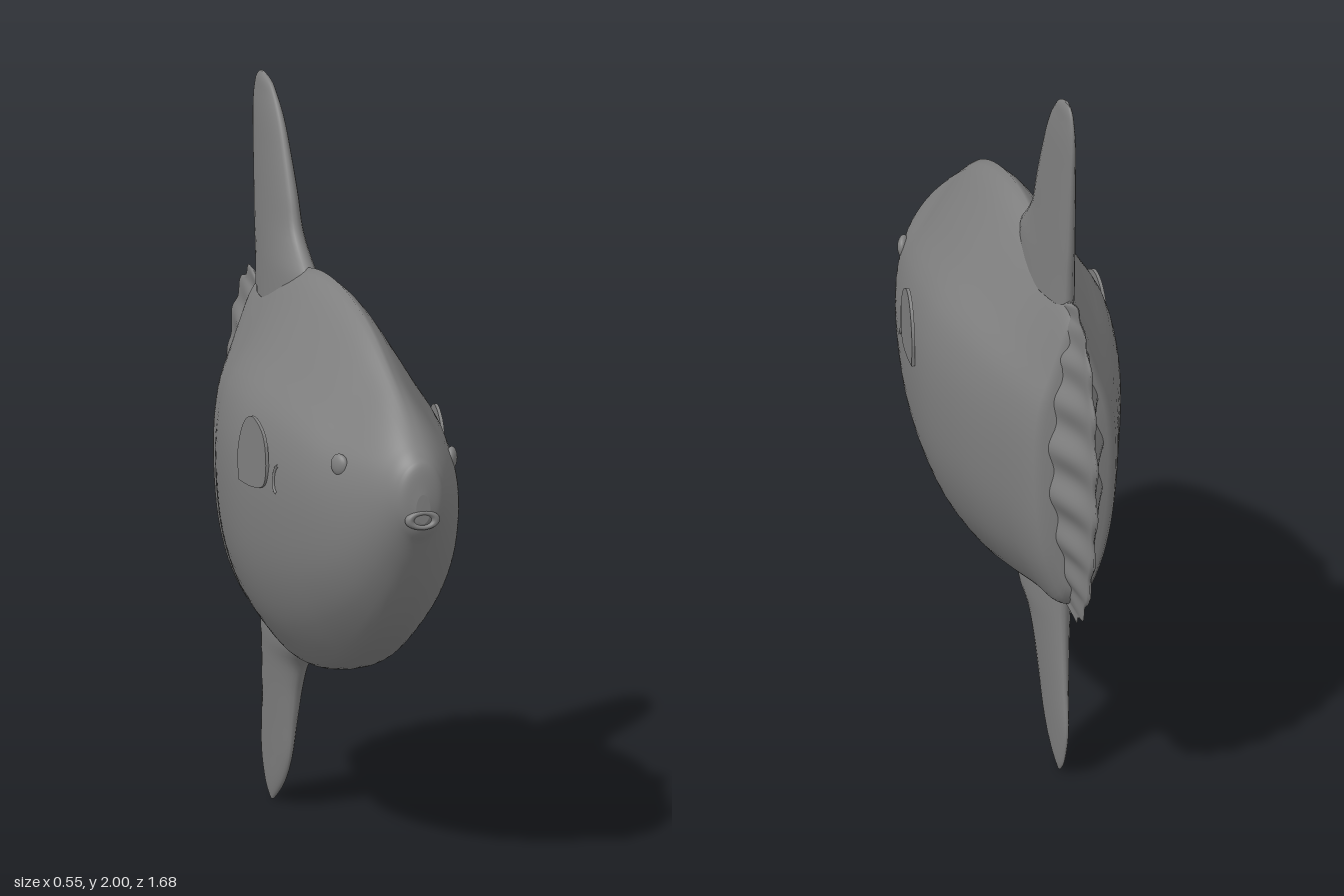
import * as THREE from 'three';

const skin = new THREE.MeshStandardMaterial({ color: 0x808080 });
skin.name = 'greySkin';

// Smooth interpolation of a small table of rows [position, value, value...]
function sampler(rows) {
  const size = rows[0].length - 1;
  const curve = new THREE.CubicInterpolant(
    new Float32Array(rows.map(r => r[0])),
    new Float32Array(rows.flatMap(r => r.slice(1))), size, new Float32Array(size));
  return t => Array.from(curve.evaluate(t));
}

// Skin over closed rings of points, capped at both ends
function loft(rings) {
  const n = rings[0].length, pos = [], index = [];
  for (const ring of rings) for (const p of ring) pos.push(...p);
  for (let i = 0; i < rings.length - 1; i++) {
    for (let j = 0; j < n; j++) {
      const a = i * n + j, b = i * n + (j + 1) % n;
      index.push(a, b, a + n, b, b + n, a + n);
    }
  }
  [0, rings.length - 1].forEach((r, end) => {
    const c = pos.length / 3;
    for (let k = 0; k < 3; k++) pos.push(rings[r].reduce((s, p) => s + p[k], 0) / n);
    for (let j = 0; j < n; j++) {
      const a = r * n + j, b = r * n + (j + 1) % n;
      if (end) index.push(a, b, c); else index.push(b, a, c);
    }
  });
  const g = new THREE.BufferGeometry();
  g.setAttribute('position', new THREE.Float32BufferAttribute(pos, 3));
  g.setIndex(index);
  g.computeVertexNormals();
  return g;
}

// Body stations: z, top y, bottom y, half width
const bodyAt = sampler([
  [-0.61, 1.36, 0.6, 0.09], [-0.58, 1.4, 0.55, 0.116], [-0.55, 1.418, 0.532, 0.13],
  [-0.4, 1.46, 0.515, 0.178], [-0.2, 1.515, 0.485, 0.235], [0, 1.54, 0.46, 0.265],
  [0.2, 1.52, 0.475, 0.258], [0.4, 1.455, 0.54, 0.232], [0.6, 1.34, 0.66, 0.185],
  [0.7, 1.27, 0.765, 0.145], [0.77, 1.213, 0.87, 0.105], [0.81, 1.177, 0.94, 0.076],
  [0.835, 1.14, 0.975, 0.05], [0.845, 1.08, 1.0, 0.02],
]);

// Half cross-section, keel to ridge: relative width and height
const half = [[0, 0], [0.22, 0.008], [0.4, 0.04], [0.67, 0.13], [0.84, 0.222], [0.94, 0.315],
  [0.99, 0.42], [1, 0.52], [0.965, 0.61], [0.86, 0.7], [0.63, 0.79], [0.4, 0.88], [0.18, 0.96], [0, 1]];
const halfAt = sampler(half.map((p, i) => [i / (half.length - 1), ...p]));

function bodyPoint(z, k) {
  const [top, bottom, w] = bodyAt(z);
  const [x, y] = halfAt(k);
  const round = THREE.MathUtils.smoothstep(z, 0.5, 0.84); // rounder towards the snout
  const cx = THREE.MathUtils.lerp(x, Math.sin(Math.PI * k), round);
  const cy = THREE.MathUtils.lerp(y, 0.5 - 0.5 * Math.cos(Math.PI * k), round);
  return [w * cx, bottom + (top - bottom) * cy, z];
}

// Half width of the body at a given z and y
function surfaceX(z, y) {
  let k = 0;
  while (k < 1 && bodyPoint(z, k)[1] < y) k += 0.005;
  return bodyPoint(z, k)[0];
}

function bodyGeometry() {
  const rings = [], m = 36;
  for (let i = 0; i <= 90; i++) {
    const z = -0.61 + 1.455 * Math.sin(i / 90 * Math.PI / 2), ring = [];
    for (let j = 0; j < 2 * m; j++) {
      const [x, y] = bodyPoint(z, (j <= m ? j : 2 * m - j) / m);
      ring.push([j <= m ? x : -x, y, z]);
    }
    rings.push(ring);
  }
  return loft(rings);
}

// Upright fin from rows of y, front z, back z, half thickness
function finGeometry(rows) {
  const at = sampler(rows), y0 = rows[0][0], y1 = rows[rows.length - 1][0], rings = [];
  for (let i = 0; i <= 48; i++) {
    const y = y0 + (y1 - y0) * (0.5 - 0.5 * Math.cos(Math.PI * i / 48));
    const [front, back, w] = at(y), ring = [];
    for (let j = 0; j < 28; j++) {
      const a = j / 28 * Math.PI * 2, c = Math.cos(a);
      ring.push([w * Math.sin(a) * (0.88 + 0.12 * c), y, (front + back) / 2 + (front - back) / 2 * c]);
    }
    rings.push(ring);
  }
  return loft(rings);
}

// Scalloped, ribbed tail frill
function frillGeometry() {
  const rings = [], m = 16;
  for (let i = 0; i <= 120; i++) {
    const phi = (i / 120 - 0.5) * Math.PI, s = Math.sin(phi), ring = [];
    const wave = Math.cos(19.5 * (phi - 0.118));
    const edgeZ = -0.6 - 0.228 * Math.cos(phi) + -0.008 * wave;
    const edgeY = 0.975 + (0.465 + 0.006 * wave) * s;
    const full = Math.max(0.12, 1 - Math.abs(s) ** 1.7);
    for (let j = 0; j <= 2 * m; j++) {
      const v = (j <= m ? j : 2 * m - j) / m;
      let x = (0.112 * (1 - v) ** 1.5) * full + 0.012 * Math.min(1, full * 2) * (1 - 0.5 * v);
      x += 0.009 * wave * Math.sin(Math.PI * v) * full;
      if (v === 1) x = 0.002;
      ring.push([j <= m ? x : -x, THREE.MathUtils.lerp(0.975 + 0.43 * s, edgeY, v),
        THREE.MathUtils.lerp(-0.5, edgeZ, v)]);
    }
    rings.push(ring);
  }
  return loft(rings);
}

export function createModel() {
  const model = new THREE.Group();
  model.name = 'oceanSunfish';
  const add = (name, geometry) => {
    const mesh = new THREE.Mesh(geometry, skin);
    mesh.name = name;
    model.add(mesh);
    return mesh;
  };

  add('body', bodyGeometry());
  add('tailFrill', frillGeometry());
  add('dorsalFin', finGeometry([
    [1.4, -0.08, -0.538, 0.06], [1.5, -0.1, -0.548, 0.055], [1.55, -0.16, -0.555, 0.05],
    [1.6, -0.21, -0.56, 0.046], [1.7, -0.252, -0.57, 0.04], [1.8, -0.3, -0.58, 0.033],
    [1.9, -0.358, -0.587, 0.025], [1.95, -0.405, -0.58, 0.018], [1.985, -0.455, -0.56, 0.012],
    [2, -0.505, -0.535, 0.004]]));
  add('analFin', finGeometry([
    [0, -0.425, -0.445, 0.004], [0.025, -0.385, -0.475, 0.01], [0.06, -0.34, -0.497, 0.015],
    [0.13, -0.285, -0.52, 0.021], [0.25, -0.245, -0.508, 0.031], [0.36, -0.208, -0.496, 0.042],
    [0.42, -0.17, -0.492, 0.05], [0.47, -0.095, -0.49, 0.06], [0.56, -0.06, -0.49, 0.064]]));

  // Lips around the open mouth
  const lips = add('lips', new THREE.TorusGeometry(0.037, 0.013, 12, 32));
  lips.scale.set(1, 0.55, 1);
  lips.position.set(0, 1.01, 0.837);

  // Outline of the side fin in z and y, centred on the fin
  const outline = [[-0.09, -0.09], [-0.095, -0.01], [-0.06, 0.07], [0, 0.1], [0.07, 0.06],
    [0.09, -0.02], [0.07, -0.08], [-0.01, -0.095]].map(p => new THREE.Vector2(...p));
  const finShape = new THREE.Shape(new THREE.SplineCurve([...outline, outline[0]]).getPoints(40));

  for (const side of [1, -1]) {
    const label = side > 0 ? 'left' : 'right';

    const eye = add(label + 'Eye', new THREE.SphereGeometry(0.031, 24, 16));
    eye.scale.x = 0.5;
    eye.position.set(side * surfaceX(0.61, 1.13), 1.13, 0.61);
    eye.rotation.y = -side * 0.42;

    const plate = new THREE.ExtrudeGeometry(finShape, { depth: 0.009, bevelEnabled: false });
    plate.translate(0, 0, -0.0045).rotateY(-Math.PI / 2);
    const fin = add(label + 'SideFin', plate);
    fin.position.set(side * 0.262, 1.09, 0.18);
    fin.rotation.y = -side * 0.1;

    // Gill slit: a thin curved ridge lying on the skin
    const arc = [];
    for (let i = 0; i <= 8; i++) {
      const a = (i / 8 - 0.5) * Math.PI, y = 1.04 + 0.038 * Math.sin(a), z = 0.325 - 0.022 * Math.cos(a);
      arc.push(new THREE.Vector3(side * surfaceX(z, y), y, z));
    }
    add(label + 'GillSlit', new THREE.TubeGeometry(new THREE.CatmullRomCurve3(arc), 24, 0.005, 8));
  }
  return model;
}
